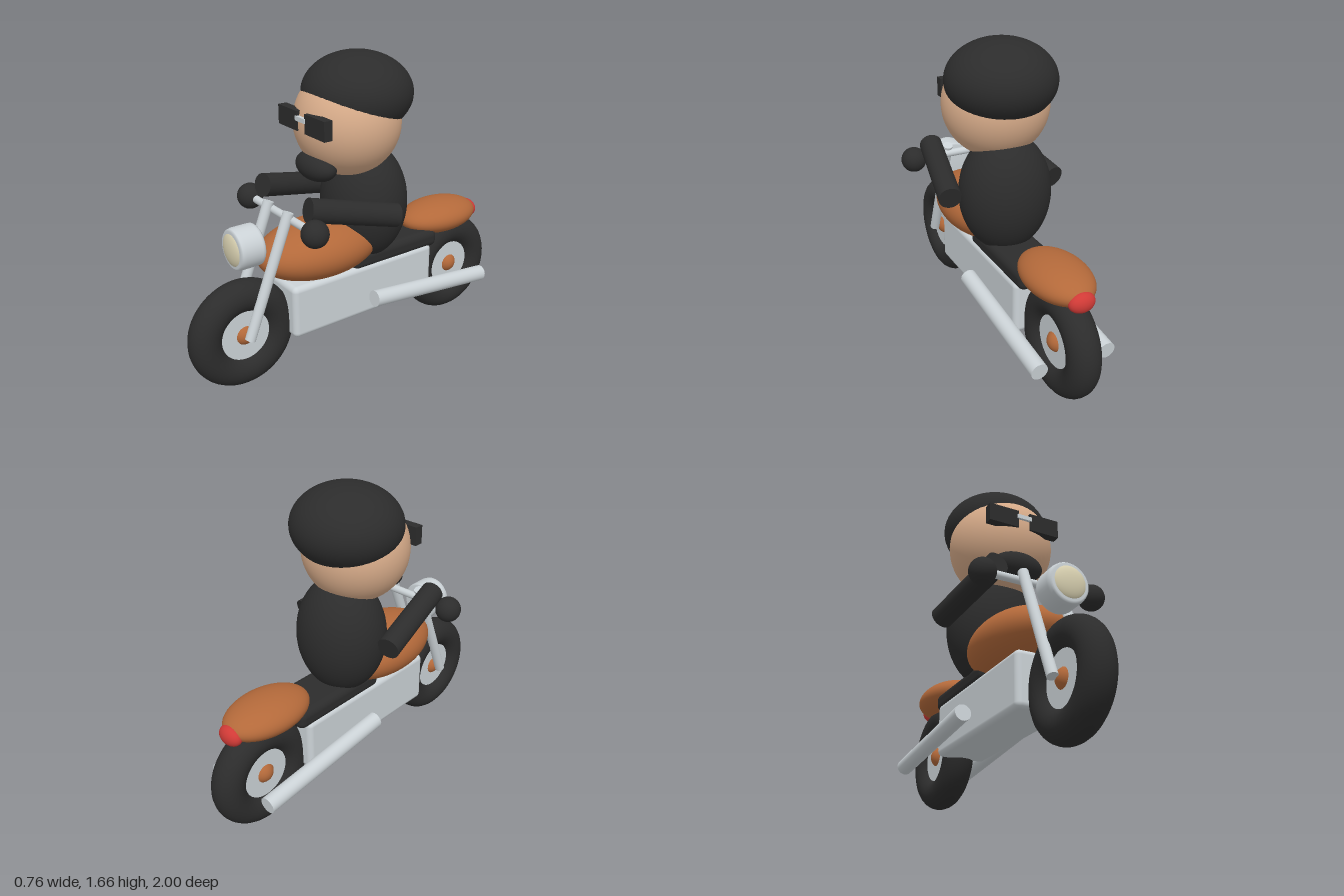
import * as THREE from 'three';
import { RoundedBoxGeometry } from 'three/addons/geometries/RoundedBoxGeometry.js';

export function createModel() {
  const root = new THREE.Group();
  const mat = (name, color) => {
    const m = new THREE.MeshStandardMaterial({ color });
    m.name = name;
    return m;
  };
  const black = mat('black', 0x2c2c2c);
  const copper = mat('copper', 0xb3693a);
  const silver = mat('silver', 0xcbd2d6);
  const skin = mat('skin', 0xd8ac8a);
  const cream = mat('cream', 0xd8d0b0);
  const red = mat('red', 0xd03a36);

  const add = (name, geo, material, x = 0, y = 0, z = 0, parent = root) => {
    const mesh = new THREE.Mesh(geo, material);
    mesh.name = name;
    mesh.position.set(x, y, z);
    parent.add(mesh);
    return mesh;
  };
  const ellipsoid = (name, material, pos, radii, parent = root) =>
    add(name, new THREE.SphereGeometry(1, 48, 32).scale(...radii), material, ...pos, parent);
  // Round bar between two points
  const rod = (name, material, a, b, r) => {
    const from = new THREE.Vector3(...a), to = new THREE.Vector3(...b);
    const dir = to.clone().sub(from);
    const mesh = add(name, new THREE.CylinderGeometry(r, r, dir.length(), 32), material);
    mesh.position.copy(from).add(to).multiplyScalar(0.5);
    mesh.quaternion.setFromUnitVectors(new THREE.Vector3(0, 1, 0), dir.normalize());
    return mesh;
  };
  const box = (name, material, w, h, d, r, x, y, z) =>
    add(name, new RoundedBoxGeometry(w, h, d, 5, r), material, x, y, z);

  // Wheels: tyre, disc and domed hub
  for (const [name, z] of [['frontWheel', 0.705], ['rearWheel', -0.7]]) {
    const wheel = new THREE.Group();
    wheel.name = name;
    wheel.position.set(0, 0.295, z);
    root.add(wheel);
    add('tyre', new THREE.TorusGeometry(0.21, 0.086, 24, 64).rotateY(Math.PI / 2), black, 0, 0, 0, wheel);
    add('disc', new THREE.CylinderGeometry(0.16, 0.16, 0.09, 48).rotateZ(Math.PI / 2), silver, 0, 0, 0, wheel);
    ellipsoid('hub', copper, [0, 0, 0], [0.075, 0.065, 0.065], wheel);
  }

  // Body of the motorcycle
  box('engineBlock', silver, 0.28, 0.295, 0.935, 0.03, 0, 0.372, -0.003);
  box('seat', black, 0.27, 0.105, 0.6, 0.04, 0, 0.547, -0.22);
  ellipsoid('fuelTank', copper, [0, 0.652, 0.22], [0.23, 0.157, 0.36]);
  ellipsoid('tailFender', copper, [0, 0.625, -0.63], [0.165, 0.095, 0.255]);
  ellipsoid('tailLight', red, [0, 0.608, -0.865], [0.07, 0.053, 0.045]);

  // Headlight with rounded rim and bulging lens
  const shell = [[0, 0], [0.1, 0], [0.108, 0.008], [0.11, 0.02], [0.11, 0.11], [0.106, 0.13], [0.096, 0.14], [0, 0.14]]
    .map(([r, h]) => new THREE.Vector2(r, h));
  add('headlight', new THREE.LatheGeometry(shell, 48).rotateX(Math.PI / 2), silver, 0, 0.768, 0.595);
  ellipsoid('headlightLens', cream, [0, 0.768, 0.72], [0.093, 0.093, 0.035]);

  // Paired parts
  for (const s of [-1, 1]) {
    rod('fork', silver, [s * 0.095, 0.293, 0.708], [s * 0.095, 0.933, 0.458], 0.028);
    rod('exhaust', silver, [s * 0.19, 0.335, -0.015], [s * 0.19, 0.248, -0.825], 0.045);
    rod('arm', black, [s * 0.305, 0.86, -0.06], [s * 0.215, 0.975, 0.42], 0.062);
    ellipsoid('hand', black, [s * 0.31, 0.89, 0.445], [0.07, 0.07, 0.07]);
    add('sunglassLens', new THREE.BoxGeometry(0.172, 0.102, 0.048), black, s * 0.12, 1.345, 0.289);
  }
  rod('handlebar', silver, [-0.3, 0.89, 0.445], [0.3, 0.89, 0.445], 0.021);

  // Rider
  ellipsoid('torso', black, [0, 0.85, -0.08], [0.25, 0.33, 0.23]);
  ellipsoid('head', skin, [0, 1.31, 0.028], [0.285, 0.285, 0.28]);
  ellipsoid('cap', black, [0, 1.45, -0.035], [0.293, 0.213, 0.29]);
  ellipsoid('beard', black, [0, 1.103, 0.225], [0.143, 0.078, 0.085]);
  add('sunglassBridge', new THREE.BoxGeometry(0.085, 0.024, 0.024), silver, 0, 1.36, 0.307);

  return root;
}
